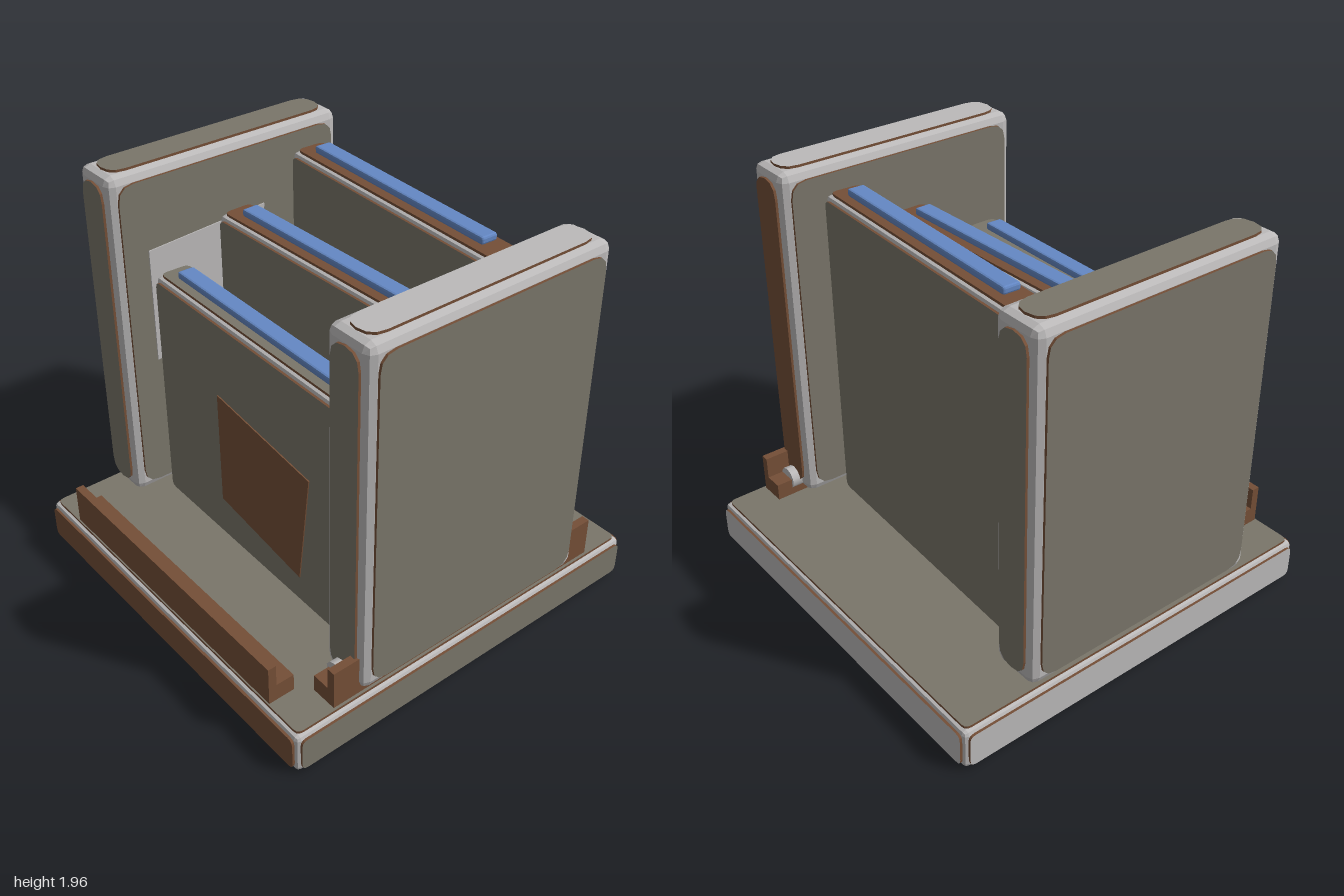
import * as THREE from 'three';
import { RoundedBoxGeometry } from 'three/addons/geometries/RoundedBoxGeometry.js';

const paint = (name, color) => Object.assign(new THREE.MeshStandardMaterial({ color }), { name });

export function createModel() {
  const olive = paint('olive', 0x7a766a);
  const brown = paint('brown', 0x754f37);
  const grey = paint('light grey', 0xbcbaba);
  const blue = paint('blue', 0x6488c4);
  const T = 0.012; // cladding thickness

  const model = new THREE.Group();
  model.name = 'model';

  const add = (parent, name, geometry, material, x = 0, y = 0, z = 0) => {
    const mesh = new THREE.Mesh(geometry, material);
    mesh.name = name;
    mesh.position.set(x, y, z);
    parent.add(mesh);
    return mesh;
  };

  // box with faceted, chamfered edges
  const chamferBox = (w, h, d, r) => {
    const g = new RoundedBoxGeometry(w, h, d, 1, r);
    g.computeVertexNormals();
    return g;
  };

  const roundedRect = (w, h, r) => {
    const s = new THREE.Shape();
    const x = w / 2, y = h / 2;
    r = Math.min(r, x * 0.98, y * 0.98);
    s.moveTo(-x + r, -y);
    s.lineTo(x - r, -y).quadraticCurveTo(x, -y, x, -y + r);
    s.lineTo(x, y - r).quadraticCurveTo(x, y, x - r, y);
    s.lineTo(-x + r, y).quadraticCurveTo(-x, y, -x, y - r);
    s.lineTo(-x, -y + r).quadraticCurveTo(-x, -y, -x + r, -y);
    return s;
  };

  // grey core clad on six sides with brown-rimmed plates
  const cladBlock = (name, [w, h, d], inset, radius, faces = {}) => {
    const group = new THREE.Group();
    group.name = name;
    add(group, name + 'Core', chamferBox(w - 2 * T, h - 2 * T, d - 2 * T, inset * 0.75), grey);
    const sides = [
      ['front', w, h, d, 0, 0], ['back', w, h, d, 0, Math.PI],
      ['left', d, h, w, 0, Math.PI / 2], ['right', d, h, w, 0, -Math.PI / 2],
      ['top', w, d, h, -Math.PI / 2, 0], ['bottom', w, d, h, Math.PI / 2, 0],
    ];
    for (const [side, u, v, n, rx, ry] of sides) {
      const g = new THREE.ExtrudeGeometry(roundedRect(u - 2 * inset, v - 2 * inset, radius),
        { depth: T, bevelEnabled: false, curveSegments: 3 });
      g.translate(0, 0, n / 2 - T).rotateX(rx).rotateY(ry);
      add(group, name + side[0].toUpperCase() + side.slice(1) + 'Plate', g, [faces[side] || olive, brown]);
    }
    model.add(group);
    return group;
  };

  // thin four-cornered patch, facing +z before rotation
  const patch = (parent, name, corners, material, z, ry = 0) => {
    const s = new THREE.Shape(corners.map(([x, y]) => new THREE.Vector2(x, y)));
    const g = new THREE.ExtrudeGeometry(s, { depth: 0.006, bevelEnabled: false });
    g.translate(0, 0, z).rotateY(ry);
    return add(parent, name, g, material);
  };

  // base
  cladBlock('base', [2, 0.225, 2], 0.03, 0.03, { front: brown, back: grey, right: grey })
    .position.y = 0.1125;

  // side walls
  const wallSize = [0.27, 1.725, 1.3];
  cladBlock('leftWall', wallSize, 0.055, 0.08, { top: grey, back: brown }).position.set(0.865, 1.0975, 0);
  cladBlock('rightWall', wallSize, 0.055, 0.08).position.set(-0.865, 1.0975, 0);
  patch(model, 'wallPatch', [[-0.47, 0.98], [0.14, 1.02], [0.18, 1.6], [-0.47, 1.56]], grey, -0.73, Math.PI / 2);

  // three upright dividers, each with a blue strip on top
  const quad = [[-0.2, 0.475], [0.395, 0.4], [0.47, 0.985], [-0.2, 1.06]];
  const dividers = [
    ['frontDivider', 1.46, 0.39, -0.018, olive],
    ['middleDivider', 1.655, 0, 0.022, brown],
    ['backDivider', 1.845, -0.39, -0.042, brown],
  ];
  for (const [name, top, z, turn, topColor] of dividers) {
    const bottom = 0.235, h = top - bottom;
    const divider = cladBlock(name, [1.4, h, 0.205], 0.03, 0.03, { top: topColor });
    divider.position.set(0, bottom + h / 2, z);
    divider.rotation.y = turn;
    add(divider, name + 'Strip', chamferBox(1.15, 0.036, 0.085, 0.01), blue, 0, h / 2 + 0.026, 0);
    if (name !== 'middleDivider') {
      const isFront = name === 'frontDivider';
      patch(divider, name + 'Patch', quad, brown, 0.1025).position.y = -bottom - h / 2;
      if (isFront) patch(divider, name + 'RearPatch', quad.map(([x, y]) => [x - 0.2, y]), brown, 0.1025, Math.PI)
        .position.y = -bottom - h / 2;
    }
  }

  // stepped rails: one along the front, one under the left wall
  const rail = (name) => {
    const s = new THREE.Shape();
    s.moveTo(-0.065, 0);
    [[0.065, 0], [0.065, 0.195], [0.025, 0.195], [0.025, 0.085], [-0.065, 0.085]]
      .forEach(([x, y]) => s.lineTo(x, y));
    const g = new THREE.ExtrudeGeometry(s, { depth: 1.54, bevelEnabled: false });
    g.translate(0, 0, -0.77);
    return add(model, name, g, brown);
  };
  const frontRail = rail('frontRail');
  frontRail.rotation.y = -Math.PI / 2;
  frontRail.position.set(0, 0.225, 0.898);
  rail('leftRail').position.set(0.892, 0.225, 0);

  // rod lying on the left rail
  const rod = new THREE.CylinderGeometry(0.055, 0.055, 1.38, 10).rotateX(Math.PI / 2);
  add(model, 'leftRod', rod, grey, 0.865, 0.3, 0);

  return model;
}
